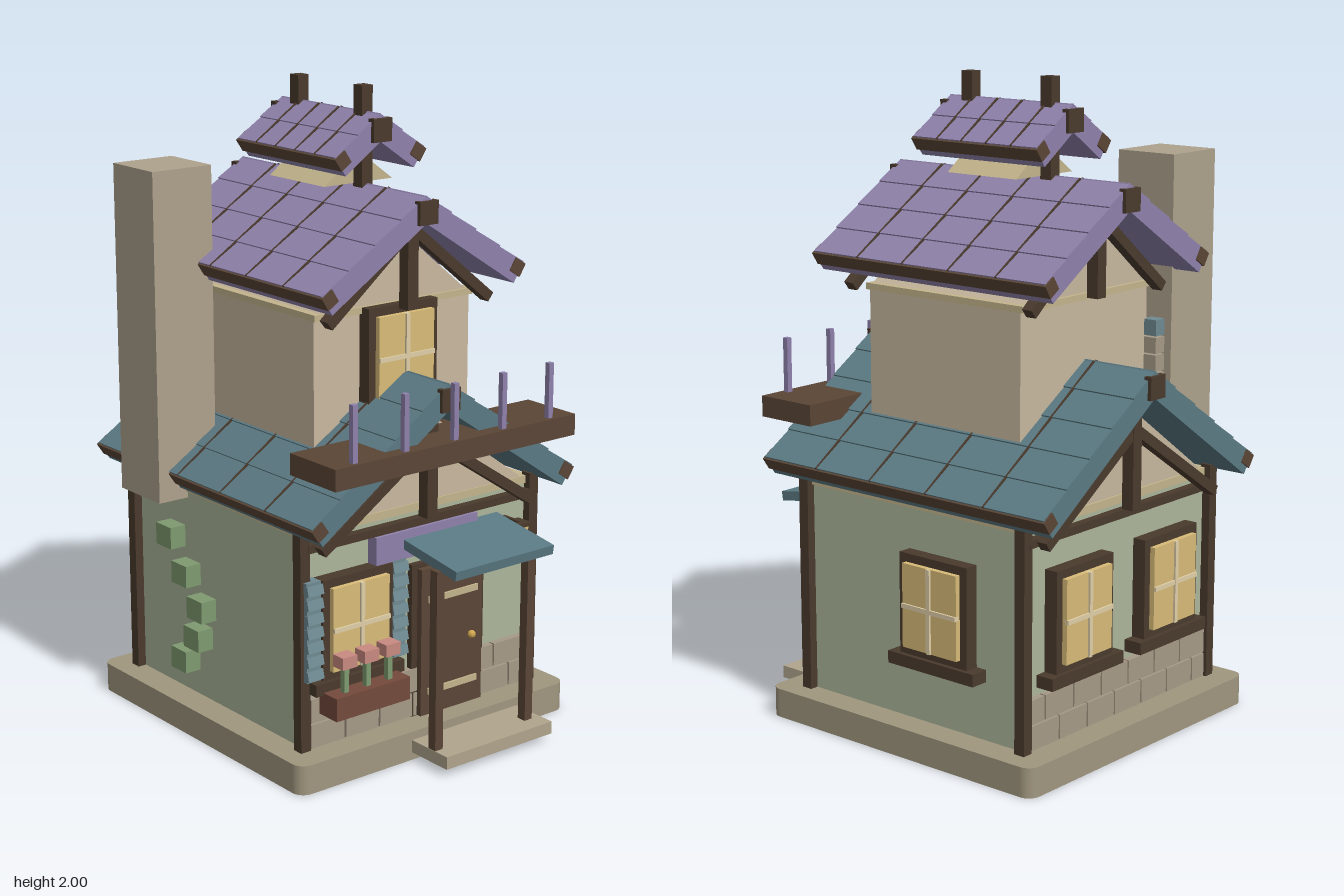
import * as THREE from 'three';

const COL = {
  wood: 0x5a4636, dark: 0x4a3a2d, wall: 0xacb69b, plaster: 0xc8b89f, cream: 0xc4b58c, stone: 0xa0977f,
  brick: 0xa69a87, chimney: 0xaea28c, teal: 0x5b7a84, purple: 0x8f82ab, glass: 0xd8bb78, bar: 0xe0d0a8,
  leaf: 0x7f9a70, pink: 0xc98a80, planter: 0x744a3c, shutter: 0x708a92, gold: 0xd0a550, step: 0xb0a48c,
};
const mats = {};
const mat = (c) => (mats[c] ??= new THREE.MeshStandardMaterial({ color: COL[c], flatShading: true }));

function mesh(parent, name, geo, c) {
  const m = new THREE.Mesh(geo, mat(c));
  m.name = name;
  parent.add(m);
  return m;
}
// Box from its min and max along each axis
function box(parent, name, c, x0, x1, y0, y1, z0, z1) {
  const m = mesh(parent, name, new THREE.BoxGeometry(x1 - x0, y1 - y0, z1 - z0), c);
  m.position.set((x0 + x1) / 2, (y0 + y1) / 2, (z0 + z1) / 2);
  return m;
}
function group(parent, name, x = 0, y = 0, z = 0, ry = 0) {
  const g = new THREE.Group();
  g.name = name;
  g.position.set(x, y, z);
  g.rotation.y = ry;
  parent.add(g);
  return g;
}
// Triangular prism along z
function prism(parent, name, c, half, y0, y1, z0, z1) {
  const s = new THREE.Shape([new THREE.Vector2(-half, y0), new THREE.Vector2(half, y0), new THREE.Vector2(0, y1)]);
  const m = mesh(parent, name, new THREE.ExtrudeGeometry(s, { depth: z1 - z0, bevelEnabled: false }), c);
  m.position.z = z0;
}

// Gabled roof: slabs, stepped tile rows, seam battens, eave beams and ridge blocks
function roof(parent, name, c, { half, apex, drop, z0, z1, rows }) {
  const cols = 5, len = z1 - z0, t = 0.07;
  const g = group(parent, name, 0, apex, (z0 + z1) / 2);
  const L = Math.hypot(half, drop), step = L / rows;
  for (const turn of [0, Math.PI]) {
    const slope = group(g, 'roofSlope', 0, 0, 0, turn);
    slope.rotation.order = 'YXZ';
    slope.rotation.z = -Math.atan2(drop, half);
    box(slope, 'roofSlab', c, 0, L, -t, -0.012, -len / 2, len / 2);
    for (let i = 0; i < rows; i++) {
      const row = box(slope, 'tileRow', c, i * step, (i + 1) * step, -0.016, 0, -len / 2, len / 2);
      row.rotation.z = 0.04;
    }
    for (let j = 1; j < cols; j++) {
      const z = -len / 2 + (j * len) / cols;
      box(slope, 'seamBatten', 'dark', 0.005, L, -0.01, 0.003, z - 0.003, z + 0.003);
    }
    box(slope, 'eaveBeam', 'wood', L - 0.038, L + 0.006, -0.046, -0.002, -len / 2 - 0.006, len / 2 + 0.006);
  }
  for (const s of [-1, 1]) {
    const z = s * len / 2;
    box(g, 'ridgeBlock', 'dark', -0.035, 0.035, -0.085, -0.015, z - 0.012, z + 0.012);
  }
}

// King post and two sloping beams in a gable
function truss(parent, z, half, y0, y1, postBottom, postTop) {
  const g = group(parent, 'gableTruss', 0, 0, z);
  const L = Math.hypot(half, y1 - y0);
  for (const s of [-1, 1]) {
    const b = mesh(g, 'slopingBeam', new THREE.BoxGeometry(L, 0.032, 0.036), 'dark');
    b.position.set(s * half / 2, (y0 + y1) / 2, 0);
    b.rotation.z = -s * Math.atan2(y1 - y0, half);
  }
  box(g, 'kingPost', 'dark', -0.02, 0.02, postBottom, postTop, -0.02, 0.02);
}

// Framed window facing local +z
function windowUnit(parent, name, x, y, z, ry, sill = true) {
  const g = group(parent, name, x, y, z, ry);
  const w = 0.132, h = 0.156, f = 0.026;
  for (const s of [-1, 1]) {
    box(g, 'frameSide', 'dark', s * (w - f / 2) - f / 2, s * (w - f / 2) + f / 2, -h, h, 0, 0.045);
    box(g, 'frameRail', 'dark', -w + f, w - f, s * (h - f / 2) - f / 2, s * (h - f / 2) + f / 2, 0, 0.045);
  }
  box(g, 'glass', 'glass', -w + f, w - f, -h + f, h - f, 0, 0.062);
  box(g, 'mullion', 'bar', -0.007, 0.007, -h + f, h - f, 0.05, 0.069);
  box(g, 'crossBar', 'bar', -w + f, w - f, -0.007, 0.007, 0.05, 0.068);
  if (sill) box(g, 'sill', 'dark', -0.168, 0.168, -h - 0.038, -h, 0, 0.06);
}

export function createModel() {
  const model = new THREE.Group();
  model.name = 'cottage';

  // Foundation with rounded corners, and the doorstep
  const a = 0.532, r = 0.04, s = new THREE.Shape();
  s.absarc(a - r, a - r, r, 0, Math.PI / 2);
  s.absarc(r - a, a - r, r, Math.PI / 2, Math.PI);
  s.absarc(r - a, r - a, r, Math.PI, Math.PI * 1.5);
  s.absarc(a - r, r - a, r, Math.PI * 1.5, Math.PI * 2);
  const base = mesh(model, 'foundation', new THREE.ExtrudeGeometry(s, { depth: 0.092, bevelEnabled: false, curveSegments: 4 }), 'stone');
  base.rotation.x = -Math.PI / 2;
  base.position.z = -0.065;
  box(model, 'doorstep', 'step', -0.108, 0.32, 0.025, 0.065, 0.4, 0.628);

  // Ground floor
  box(model, 'lowerWalls', 'wall', -0.44, 0.44, 0.09, 0.765, -0.49, 0.36);
  box(model, 'wallPlate', 'cream', -0.447, 0.447, 0.75, 0.775, -0.497, 0.367);
  prism(model, 'lowerGable', 'plaster', 0.42, 0.77, 1.07, -0.49, 0.362);
  for (const x of [-0.45, 0.45]) for (const z of [-0.5, 0.368])
    box(model, 'cornerPost', 'dark', x - 0.018, x + 0.018, 0.09, 0.785, z - 0.018, z + 0.018);
  for (const z of [0.375, -0.505]) box(model, 'tieBeam', 'dark', -0.44, 0.44, 0.71, 0.735, z - 0.014, z + 0.014);
  truss(model, 0.405, 0.41, 0.715, 0.985, 0.74, 1.06);
  truss(model, -0.54, 0.41, 0.715, 0.985, 0.74, 1.06);

  // Stone courses on the front and the back
  for (const [z, ry, front] of [[0.36, 0, true], [-0.49, Math.PI, false]]) {
    const g = group(model, 'stoneCourses', 0, 0, z, ry);
    for (let row = 0; row < 2; row++) for (let i = 0; i < 7; i++) {
      const x0 = Math.max(-0.43, -0.43 + (i - row * 0.5) * 0.132), x1 = Math.min(0.43, -0.43 + (i + 1 - row * 0.5) * 0.132);
      if (front && x0 > -0.01 && x1 < 0.22) continue;
      box(g, 'stone', 'brick', x0 + 0.003, x1 - 0.003, 0.095 + row * 0.08, 0.17 + row * 0.08, 0, 0.022);
    }
  }

  // Upper floor and the small ridge turret
  box(model, 'upperWalls', 'plaster', -0.3, 0.3, 0.92, 1.36, -0.36, 0.235);
  box(model, 'upperPlate', 'cream', -0.305, 0.305, 1.352, 1.372, -0.372, 0.247);
  prism(model, 'upperGable', 'plaster', 0.29, 1.365, 1.605, -0.36, 0.237);
  truss(model, 0.307, 0.31, 1.355, 1.605, 1.36, 1.64);
  truss(model, -0.4, 0.31, 1.355, 1.605, 1.36, 1.64);
  prism(model, 'turretGable', 'cream', 0.13, 1.705, 1.8, -0.2, 0.07);
  for (const z of [0.09, -0.22]) box(model, 'ridgePost', 'dark', -0.02, 0.02, 1.64, 2, z - 0.021, z + 0.021);

  // Roofs
  roof(model, 'mainRoof', 'teal', { half: 0.508, apex: 1.172, drop: 0.347, z0: -0.62, z1: 0.493, rows: 5 });
  roof(model, 'upperRoof', 'purple', { half: 0.386, apex: 1.71, drop: 0.247, z0: -0.52, z1: 0.385, rows: 4 });
  roof(model, 'turretRoof', 'purple', { half: 0.17, apex: 1.925, drop: 0.117, z0: -0.308, z1: 0.172, rows: 2 });

  // Chimney with a few blocks beside it
  box(model, 'chimney', 'chimney', -0.546, -0.334, 0.73, 1.755, -0.43, -0.22);
  for (let i = 0; i < 4; i++)
    box(model, 'chimneySideBlock', i ? 'brick' : 'shutter', -0.334, -0.29, 1.2 - i * 0.055, 1.25 - i * 0.055, -0.405, -0.355);

  // Windows
  windowUnit(model, 'frontWindow', -0.268, 0.467, 0.36, 0);
  windowUnit(model, 'upperWindow', 0.003, 1.215, 0.235, 0, false);
  windowUnit(model, 'sideWindow', 0.44, 0.467, -0.182, Math.PI / 2);
  for (const x of [-0.21, 0.21]) windowUnit(model, 'backWindow', x, 0.467, -0.49, Math.PI);

  // Slatted shutters
  for (const x of [-0.43, -0.107]) {
    box(model, 'shutter', 'shutter', x - 0.026, x + 0.026, 0.315, 0.625, 0.36, 0.4);
    for (let i = 0; i < 7; i++) {
      const slat = box(model, 'shutterSlat', 'shutter', x - 0.029, x + 0.029, 0.322 + i * 0.044, 0.352 + i * 0.044, 0.395, 0.41);
      slat.rotation.x = -0.25;
    }
  }

  // Flower box
  box(model, 'flowerBox', 'planter', -0.41, -0.13, 0.21, 0.282, 0.4, 0.482);
  for (const x of [-0.355, -0.272, -0.19]) {
    box(model, 'stem', 'leaf', x - 0.009, x + 0.009, 0.28, 0.37, 0.442, 0.46);
    box(model, 'flower', 'pink', x - 0.027, x + 0.027, 0.362, 0.4, 0.428, 0.476);
  }

  // Door, panel above it and canopy on posts
  box(model, 'doorFrame', 'dark', -0.04, 0.25, 0.09, 0.585, 0.36, 0.38);
  box(model, 'door', 'wood', -0.018, 0.228, 0.095, 0.57, 0.36, 0.4);
  for (const y of [0.47, 0.172]) box(model, 'doorBand', 'cream', 0.008, 0.205, y - 0.01, y + 0.01, 0.39, 0.407);
  mesh(model, 'doorKnob', new THREE.SphereGeometry(0.013, 8, 6), 'gold').position.set(0.18, 0.32, 0.408);
  box(model, 'panelAboveDoor', 'purple', -0.195, 0.203, 0.622, 0.71, 0.36, 0.4);
  const canopy = mesh(model, 'canopy', new THREE.BoxGeometry(0.39, 0.03, 0.26), 'teal');
  canopy.position.set(0.105, 0.652, 0.508);
  canopy.rotation.x = 0.15;
  for (const x of [-0.092, 0.272]) box(model, 'canopyPost', 'wood', x - 0.015, x + 0.015, 0.06, 0.632, 0.542, 0.573);

  // Lantern
  box(model, 'lanternBracket', 'dark', 0.342, 0.354, 0.645, 0.66, 0.36, 0.43);
  box(model, 'lantern', 'glass', 0.322, 0.374, 0.578, 0.645, 0.4, 0.446);
  box(model, 'lanternCap', 'dark', 0.316, 0.38, 0.643, 0.655, 0.394, 0.452);

  // Balcony
  box(model, 'balcony', 'wood', -0.46, 0.47, 0.94, 1.006, 0.33, 0.54);
  for (let i = -2; i <= 2; i++)
    box(model, 'baluster', 'purple', i * 0.189 - 0.009, i * 0.189 + 0.009, 1, 1.178, 0.51, 0.528);

  // Ivy clumps on the chimney side
  for (const [y, z] of [[0.6, -0.28], [0.495, -0.2], [0.4, -0.12], [0.3, -0.14], [0.21, -0.21]])
    box(model, 'ivy', 'leaf', -0.495, -0.435, y - 0.035, y + 0.035, z - 0.04, z + 0.04);

  return model;
}
